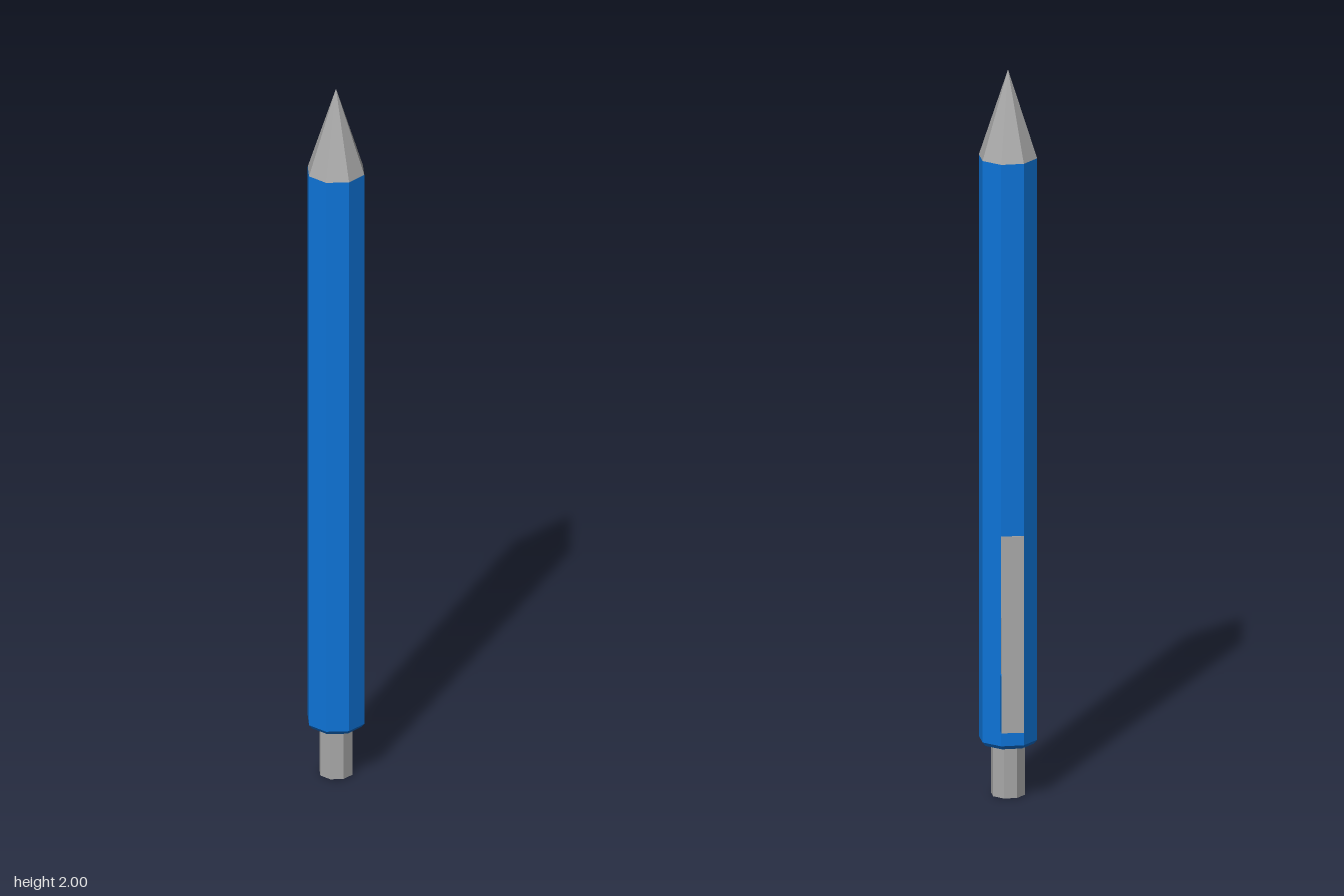
import * as THREE from 'three';

const SIDES = 8;
const PHASE = THREE.MathUtils.degToRad(27);
const AXIS_X = -0.001, AXIS_Z = 0.022;

export function createModel() {
  const group = new THREE.Group();
  const blue = new THREE.MeshStandardMaterial({ color: 0x0d74d8 });
  const metal = new THREE.MeshStandardMaterial({ color: 0xa8a8a8 });
  blue.name = 'blue barrel';
  metal.name = 'grey metal';

  const add = (name, geometry, material) => {
    const mesh = new THREE.Mesh(geometry, material);
    mesh.name = name;
    group.add(mesh);
    return mesh;
  };

  // Octagonal section on the pen's axis, between two heights
  const section = (name, rBottom, rTop, y0, y1, material, open = false) => {
    const g = new THREE.CylinderGeometry(rTop, rBottom, y1 - y0, SIDES, 1, open, PHASE).toNonIndexed();
    g.computeVertexNormals(); // flat facets
    g.translate(AXIS_X, (y0 + y1) / 2, AXIS_Z);
    return add(name, g, material);
  };

  section('pushButton', 0.046, 0.046, 0, 0.15, metal);
  section('barrelChamfer', 0.07, 0.079, 0.143, 0.154, blue);
  section('barrel', 0.079, 0.079, 0.154, 1.76, blue, true);
  section('tip', 0.079, 0, 1.76, 2, metal);

  // Clip mount: side profile (z, y) extruded across the width
  const left = -0.033, width = 0.06;
  const strip = (points) => {
    const shape = new THREE.Shape(points.map(([z, y]) => new THREE.Vector2(-z, y)));
    const g = new THREE.ExtrudeGeometry(shape, { depth: width, bevelEnabled: false });
    g.rotateY(Math.PI / 2); // shape x becomes -z, depth becomes +x
    g.translate(left, 0, 0);
    return g;
  };
  add('clipMount', strip([[-0.03, 0.193], [-0.03, 0.352], [-0.0945, 0.36], [-0.0965, 0.204]]), blue);

  // Thin, slightly leaning clip blade
  add('clip', strip([[-0.0965, 0.204], [-0.0895, 0.745], [-0.0915, 0.745], [-0.0985, 0.204]]), metal);

  return group;
}
